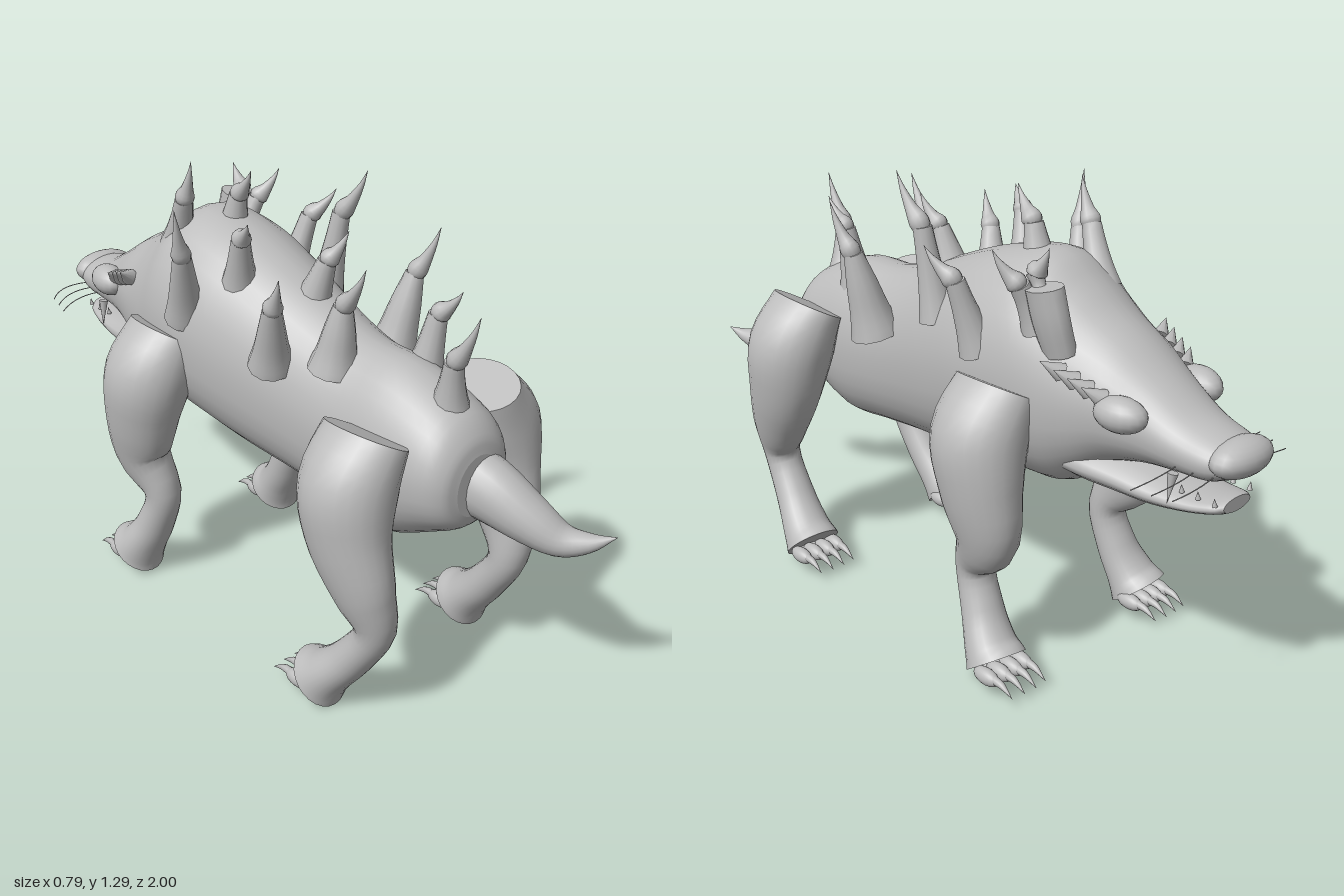
import * as THREE from 'three';

const hide = new THREE.MeshStandardMaterial({ color: 0xbcbcbc });
hide.name = 'grey hide';

// Sweeps an ellipse along sections [x, y, z, rx, ry]; axis fixes the ring plane,
// belly below 1 squares off the half of the ring with positive sine
function sweep(sections, { sides = 20, steps = 4, axis = null, belly = 1 } = {}) {
  const path = new THREE.CatmullRomCurve3(sections.map(s => new THREE.Vector3(s[0], s[1], s[2])), false, 'catmullrom');
  const size = new THREE.CatmullRomCurve3(sections.map(s => new THREE.Vector3(s[3], s[4], 0)), false, 'catmullrom');
  const n = (sections.length - 1) * steps;
  const pos = [], idx = [];
  const ring = t => {
    const c = path.getPoint(t), r = size.getPoint(t);
    const T = axis ? axis.clone() : path.getTangent(t);
    const U = new THREE.Vector3(1, 0, 0).addScaledVector(T, -T.x).normalize();
    const V = new THREE.Vector3().crossVectors(T, U);
    for (let j = 0; j < sides; j++) {
      const a = (j / sides) * Math.PI * 2, co = Math.cos(a), si = Math.sin(a);
      const e = si > 0 ? belly : 1;
      const p = c.clone()
        .addScaledVector(U, Math.sign(co) * Math.abs(co) ** e * Math.max(r.x, 0.0005))
        .addScaledVector(V, Math.sign(si) * Math.abs(si) ** e * Math.max(r.y, 0.0005));
      pos.push(p.x, p.y, p.z);
    }
    return c;
  };
  for (let i = 0; i <= n; i++) ring(i / n);
  for (let i = 0; i < n; i++) for (let j = 0; j < sides; j++) {
    const k = (j + 1) % sides, a = i * sides, b = a + sides;
    idx.push(a + j, a + k, b + k, a + j, b + k, b + j);
  }
  // Flat end caps with their own vertices, so the rim stays sharp
  for (const end of [0, 1]) {
    const start = pos.length / 3;
    const c = ring(end), m = pos.length / 3;
    pos.push(c.x, c.y, c.z);
    for (let j = 0; j < sides; j++) {
      const k = (j + 1) % sides;
      if (end) idx.push(m, start + j, start + k);
      else idx.push(m, start + k, start + j);
    }
  }
  const g = new THREE.BufferGeometry();
  g.setAttribute('position', new THREE.Float32BufferAttribute(pos, 3));
  g.setIndex(idx);
  g.computeVertexNormals();
  return g;
}

function add(parent, name, geometry) {
  const m = new THREE.Mesh(geometry, hide);
  m.name = name;
  parent.add(m);
  return m;
}

function ellipsoid(parent, name, p, r) {
  const m = add(parent, name, new THREE.SphereGeometry(1, 18, 12));
  m.position.set(...p);
  m.scale.set(...r);
  return m;
}

// Straight pointed cone from a to b
function spike(parent, name, a, b, r) {
  const A = new THREE.Vector3(...a), d = new THREE.Vector3(...b).sub(A);
  const m = add(parent, name, new THREE.ConeGeometry(r, d.length(), 10));
  m.position.copy(A).addScaledVector(d, 0.5);
  m.quaternion.setFromUnitVectors(new THREE.Vector3(0, 1, 0), d.normalize());
  return m;
}

// Back spine: flared fleshy stem up to the joint, then a thin horn curling up to the tip
function spine(parent, base, joint, tip, r) {
  const B = new THREE.Vector3(...base), J = new THREE.Vector3(...joint), E = new THREE.Vector3(...tip);
  const stem = (t, w) => [...B.clone().lerp(J, t).toArray(), w, w];
  const bend = new THREE.Vector3(J.x + (E.x - J.x) * 0.65, J.y + (E.y - J.y) * 0.4, J.z + (E.z - J.z) * 0.65);
  const curve = new THREE.QuadraticBezierCurve3(J, bend, E);
  const horn = (t, w) => [...curve.getPoint(t).toArray(), w, w];
  const g = new THREE.Group();
  g.name = 'backSpine';
  add(g, 'spineStem', sweep([stem(0, r), stem(0.3, r * 0.76), stem(0.65, r * 0.58), stem(1, 0.026)], { sides: 12, steps: 3 }));
  add(g, 'spineHorn', sweep([stem(0.93, 0.02), horn(0.1, 0.028), horn(0.35, 0.018), horn(0.7, 0.008), horn(1, 0)], { sides: 12, steps: 3 }));
  parent.add(g);
}

// Leg sections: x, y, z, half width, half depth
const tailEndLeg = [
  [0.205, 0.825, 0.5, 0.088, 0.128], [0.265, 0.71, 0.505, 0.122, 0.132], [0.282, 0.58, 0.525, 0.102, 0.122],
  [0.275, 0.44, 0.575, 0.076, 0.095], [0.255, 0.32, 0.605, 0.055, 0.055], [0.262, 0.2, 0.535, 0.06, 0.055],
  [0.275, 0.12, 0.465, 0.073, 0.065], [0.28, 0.08, 0.425, 0.082, 0.088]];
const headEndLeg = [
  [0.205, 0.825, -0.327, 0.088, 0.125], [0.265, 0.71, -0.33, 0.122, 0.134], [0.282, 0.58, -0.352, 0.102, 0.122],
  [0.275, 0.44, -0.368, 0.076, 0.1], [0.255, 0.32, -0.305, 0.055, 0.055], [0.262, 0.2, -0.34, 0.06, 0.055],
  [0.275, 0.12, -0.385, 0.073, 0.065], [0.28, 0.08, -0.415, 0.082, 0.088]];

// Leg with slanted top, bent ankle, flared foot, toes and claws
function leg(parent, name, side, rows) {
  const g = new THREE.Group();
  g.name = name;
  add(g, 'limb', sweep(rows.map(([x, y, z, a, b]) => [side * x, y, z, a, b]), { sides: 24 }));
  const foot = rows[rows.length - 1][2];
  ellipsoid(g, 'footPad', [side * 0.28, 0.062, foot], [0.045, 0.022, 0.032]);
  for (const o of [-0.06, -0.02, 0.02, 0.06]) {
    const x = side * 0.277 + 0.008 + o, z = foot - 0.042 + Math.abs(o) * 0.15;
    ellipsoid(g, 'toe', [x, 0.074, z], [0.021, 0.023, 0.045]);
    add(g, 'claw', sweep([[x, 0.078, z - 0.032, 0.012, 0.012], [x, 0.075, z - 0.062, 0.009, 0.009],
      [x, 0.055, z - 0.1, 0, 0]], { sides: 8, steps: 3 }));
  }
  parent.add(g);
}

export function createModel() {
  const model = new THREE.Group();
  model.name = 'spinyBeast';
  const forward = new THREE.Vector3(0, 0, -1);
  // Rows of z, top, bottom, half width
  const alongZ = rows => rows.map(([z, t, b, w]) => [0, (t + b) / 2, z, w, (t - b) / 2]);

  // Torso, neck and upper snout
  add(model, 'body', sweep(alongZ([
    [0.695, 0.77, 0.6, 0.075], [0.68, 0.82, 0.565, 0.12], [0.62, 0.88, 0.53, 0.155], [0.46, 0.94, 0.455, 0.172],
    [0.3, 0.95, 0.467, 0.172], [0.14, 1.0, 0.487, 0.188], [-0.05, 1.08, 0.507, 0.222], [-0.2, 1.13, 0.53, 0.243],
    [-0.35, 1.15, 0.54, 0.235], [-0.45, 1.09, 0.55, 0.212], [-0.53, 1.035, 0.6, 0.19], [-0.62, 0.985, 0.665, 0.165],
    [-0.72, 0.92, 0.695, 0.132], [-0.82, 0.86, 0.708, 0.112], [-0.9, 0.835, 0.715, 0.1], [-0.95, 0.82, 0.735, 0.085],
  ]), { sides: 32, axis: forward, belly: 0.88 }));

  // Lower jaw and nose
  add(model, 'lowerJaw', sweep(alongZ([
    [-0.45, 0.7, 0.605, 0.145], [-0.55, 0.715, 0.597, 0.148], [-0.65, 0.703, 0.595, 0.128], [-0.75, 0.682, 0.597, 0.108],
    [-0.85, 0.672, 0.615, 0.09], [-0.92, 0.678, 0.632, 0.07], [-0.945, 0.68, 0.642, 0.05],
  ]), { axis: forward }));
  ellipsoid(model, 'nose', [0, 0.785, -0.945], [0.1, 0.048, 0.056]);

  // Tail curling to the left
  add(model, 'tail', sweep([
    [0.02, 0.68, 0.6, 0.085, 0.1], [0.04, 0.66, 0.7, 0.078, 0.088], [0.07, 0.612, 0.8, 0.066, 0.066],
    [0.105, 0.572, 0.88, 0.048, 0.044], [0.14, 0.578, 0.945, 0.028, 0.025], [0.175, 0.605, 1.0, 0, 0]]));

  for (const s of [-1, 1]) {
    const side = s > 0 ? 'left' : 'right';
    leg(model, side + 'TailEndLeg', s, tailEndLeg);
    leg(model, side + 'HeadEndLeg', s, headEndLeg);

    const eye = ellipsoid(model, side + 'Eye', [s * 0.145, 0.85, -0.695], [0.048, 0.045, 0.072]);
    eye.rotation.y = s * 0.2;

    // Row of stubby knobs behind the eye
    for (let i = 0; i < 4; i++) {
      const z = -0.64 + i * 0.037, y = 0.875 + i * 0.014, x = s * (0.15 + i * 0.01);
      spike(model, 'cheekKnob', [x, y, z], [x + s * 0.05, y + 0.035, z + 0.025], 0.025);
    }

    // Fangs, small teeth and whiskers
    spike(model, 'fang', [s * 0.09, 0.725, -0.82], [s * 0.1, 0.645, -0.815], 0.014);
    for (let i = 0; i < 3; i++) {
      const z = -0.83 - i * 0.05, r = 0.24 - i * 0.015;
      spike(model, 'tooth', [s * 0.065, 0.67, z], [s * 0.068, 0.692, z], 0.007);
      const hair = new THREE.QuadraticBezierCurve3(new THREE.Vector3(s * 0.08, 0.75, z),
        new THREE.Vector3(s * 0.17, 0.755, z - 0.025), new THREE.Vector3(s * r, 0.73, z + 0.01));
      add(model, 'whisker', new THREE.TubeGeometry(hair, 8, 0.0015, 5));
    }
  }

  // Back spines: base, joint, tip, base radius
  const spines = [
    [[-0.09, 1.04, -0.4], [-0.115, 1.19, -0.335], [-0.12, 1.31, -0.29], 0.055],
    [[0.01, 1.07, -0.28], [0.01, 1.2, -0.25], [0, 1.285, -0.18], 0.058],
    [[0.15, 1.0, -0.42], [0.2, 1.11, -0.4], [0.25, 1.2, -0.355], 0.05],
    [[0.2, 0.9, -0.255], [0.255, 1.09, -0.225], [0.3, 1.175, -0.16], 0.055],
    [[-0.2, 0.9, -0.23], [-0.265, 1.11, -0.15], [-0.31, 1.26, -0.115], 0.062],
    [[-0.11, 1.0, -0.1], [-0.145, 1.16, -0.05], [-0.165, 1.22, 0.005], 0.058],
    [[0.165, 0.92, -0.055], [0.185, 1.17, -0.015], [0.2, 1.305, 0.07], 0.055],
    [[0, 0.97, 0.07], [0.015, 1.11, 0.115], [0.04, 1.2, 0.17], 0.06],
    [[-0.17, 0.86, 0.1], [-0.22, 1.05, 0.165], [-0.24, 1.15, 0.215], 0.064],
    [[0.185, 0.815, 0.195], [0.235, 1.05, 0.225], [0.26, 1.19, 0.29], 0.074],
    [[-0.09, 0.88, 0.26], [-0.09, 1.065, 0.29], [-0.1, 1.19, 0.38], 0.072],
    [[0.07, 0.86, 0.425], [0.09, 1.045, 0.45], [0.095, 1.125, 0.525], 0.058],
    [[0, 0.86, 0.585], [-0.02, 1.0, 0.61], [-0.025, 1.145, 0.69], 0.055]];
  for (const s of spines) spine(model, ...s);

  // Blunt ear-like stump with a small hooked horn
  add(model, 'ear', sweep([
    [0.145, 0.945, -0.49, 0.035, 0.05], [0.165, 1.03, -0.475, 0.038, 0.058], [0.175, 1.115, -0.46, 0.042, 0.056],
  ], { sides: 12 }));
  spine(model, [0.17, 1.06, -0.46], [0.165, 1.14, -0.42], [0.165, 1.21, -0.465], 0.03);

  return model;
}
